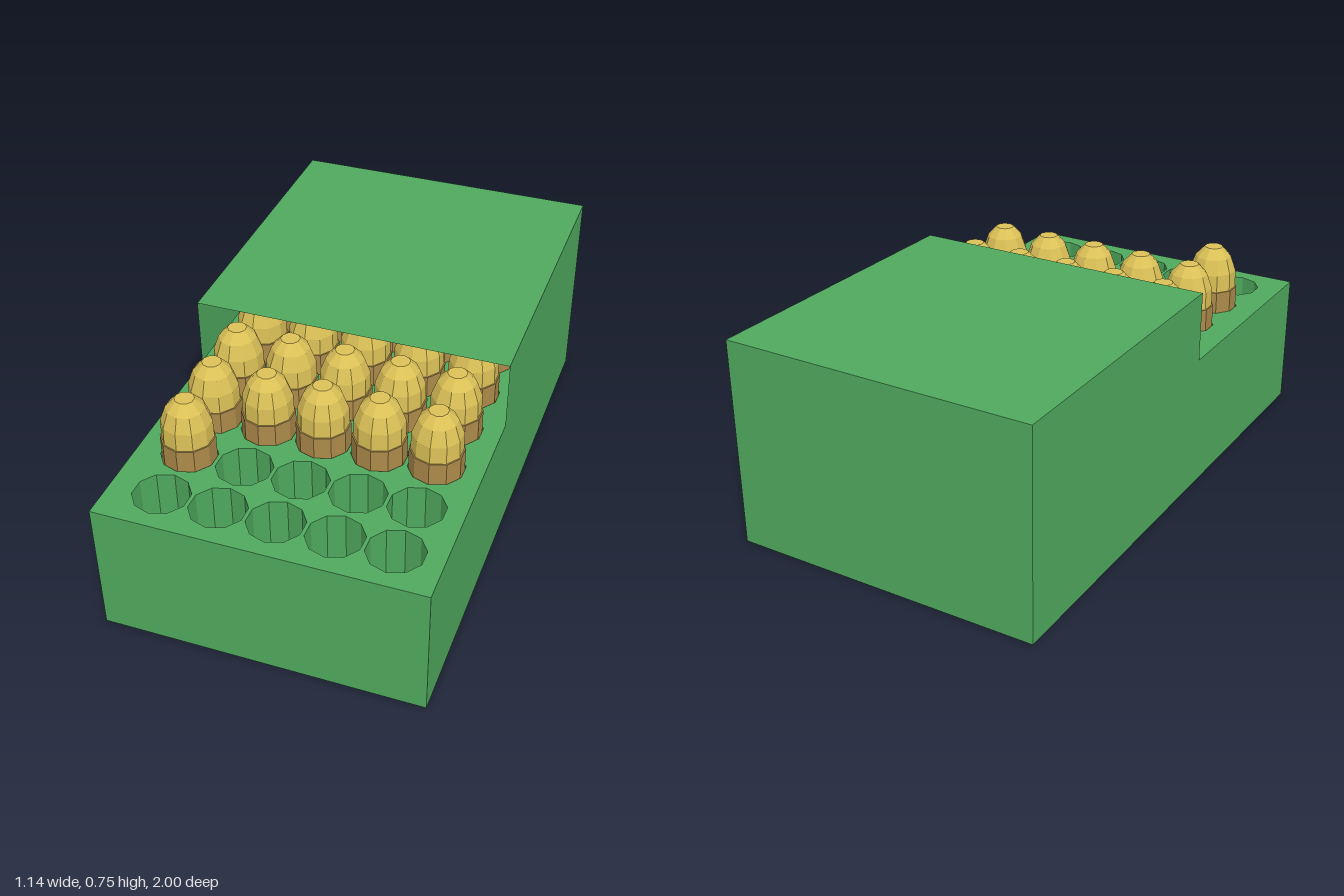
import * as THREE from 'three';

const W = 1.142, TRAY_TOP = 0.5, FLOOR = 0.1, LID_TOP = 0.755, LID_FRONT = 0.137;
const COLS = 5, ROWS = 9, SIDES = 10;
const HOLE_R = 0.098, CASE_R = 0.094;
const colX = (c) => -0.39 + c * 0.2;
const rowZ = (r) => 0.846 - r * 0.2145;

export function createModel() {
  const model = new THREE.Group();
  const mat = (name, color) => {
    const m = new THREE.MeshStandardMaterial({ color, side: THREE.DoubleSide, flatShading: true });
    m.name = name;
    return m;
  };
  const green = mat('boxGreen', 0x4fa95d);
  const gold = mat('tipGold', 0xdcc157);
  const brown = mat('casingBrown', 0xac8a4a);

  const add = (parent, name, geometry, material, x = 0, y = 0, z = 0) => {
    const mesh = new THREE.Mesh(geometry, material);
    mesh.name = name;
    mesh.position.set(x, y, z);
    parent.add(mesh);
    return mesh;
  };

  // Tray: solid floor below a block pierced by ten-sided sockets
  const tray = new THREE.Group();
  tray.name = 'tray';
  model.add(tray);
  add(tray, 'trayFloor', new THREE.BoxGeometry(W, FLOOR, 2), green, 0, FLOOR / 2, 0);

  const outline = new THREE.Shape([
    new THREE.Vector2(-W / 2, -1), new THREE.Vector2(W / 2, -1),
    new THREE.Vector2(W / 2, 1), new THREE.Vector2(-W / 2, 1),
  ]);
  for (let r = 0; r < ROWS; r++) {
    for (let c = 0; c < COLS; c++) {
      const ring = [];
      for (let i = 0; i < SIDES; i++) {
        const a = -(i / SIDES) * Math.PI * 2;
        ring.push(new THREE.Vector2(
          colX(c) + Math.sin(a) * HOLE_R, -rowZ(r) + Math.cos(a) * HOLE_R));
      }
      outline.holes.push(new THREE.Path(ring));
    }
  }
  const block = new THREE.ExtrudeGeometry(outline, { depth: TRAY_TOP - FLOOR, bevelEnabled: false });
  block.rotateX(-Math.PI / 2);
  add(tray, 'socketBlock', block, green, 0, FLOOR, 0);

  // Lid: thin shell, open at the front
  const lid = new THREE.Group();
  lid.name = 'lid';
  model.add(lid);
  const lidH = LID_TOP - TRAY_TOP, lidD = LID_FRONT + 1;
  const lidY = TRAY_TOP + lidH / 2, lidZ = LID_FRONT - lidD / 2;
  add(lid, 'lidTop', new THREE.PlaneGeometry(W, lidD), green, 0, LID_TOP, lidZ).rotation.x = -Math.PI / 2;
  add(lid, 'lidBack', new THREE.PlaneGeometry(W, lidH), green, 0, lidY, -1).rotation.y = Math.PI;
  for (const s of [-1, 1]) {
    add(lid, s > 0 ? 'lidLeftSide' : 'lidRightSide', new THREE.PlaneGeometry(lidD, lidH), green,
      s * W / 2, lidY, lidZ).rotation.y = s * Math.PI / 2;
  }

  // Cartridges: straight casing with a domed, flat-nosed tip
  const caseTop = 0.58;
  const casing = new THREE.CylinderGeometry(CASE_R, CASE_R, caseTop - FLOOR, SIDES);
  const tip = new THREE.LatheGeometry([
    [0.089, 0.58], [0.087, 0.645], [0.067, 0.7], [0.034, 0.736], [0, 0.736],
  ].map(([x, y]) => new THREE.Vector2(x, y)), SIDES);

  for (let r = 0; r < ROWS; r++) {
    for (let c = 0; c < COLS; c++) {
      // The front row and most of the second are empty
      if (r === 0 || (r === 1 && c > 0)) continue;
      const cartridge = new THREE.Group();
      cartridge.name = 'cartridge';
      cartridge.position.set(colX(c), 0, rowZ(r));
      add(cartridge, 'casing', casing, brown, 0, (caseTop + FLOOR) / 2, 0);
      add(cartridge, 'tip', tip, gold);
      model.add(cartridge);
    }
  }
  return model;
}
